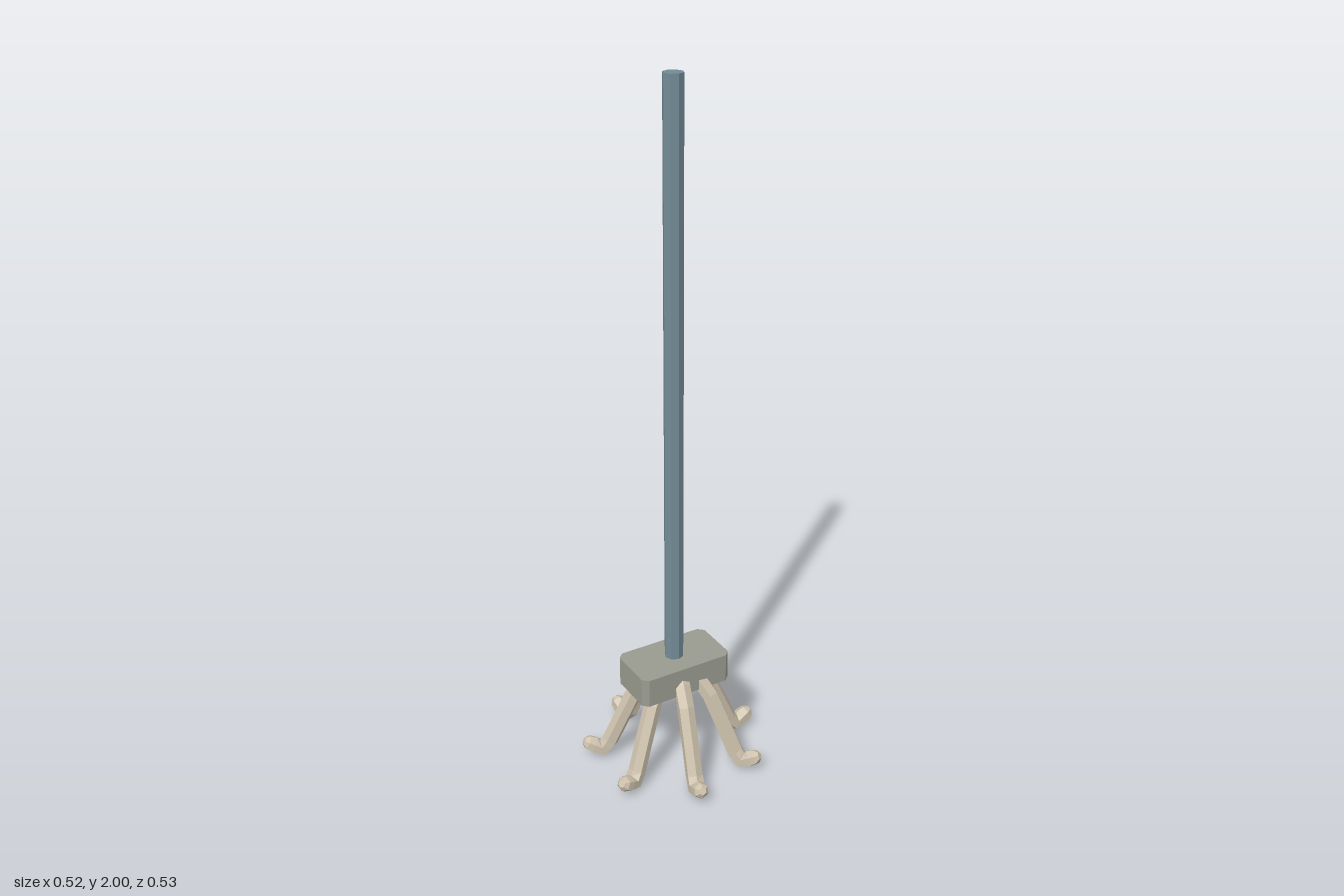
import * as THREE from 'three';

// Closed hexagonal tube in the x-y plane; each ring is [x, y, radius]
function taperedTube(rings, sides) {
  const positions = [];
  const index = [];
  rings.forEach(([x, y, r], i) => {
    const a = rings[Math.max(i - 1, 0)];
    const b = rings[Math.min(i + 1, rings.length - 1)];
    const t = new THREE.Vector2(b[0] - a[0], b[1] - a[1]).normalize();
    for (let j = 0; j < sides; j++) {
      const angle = (j / sides) * Math.PI * 2;
      const n = r * Math.cos(angle);
      positions.push(x - t.y * n, y + t.x * n, r * Math.sin(angle));
    }
  });
  for (let i = 0; i < rings.length - 1; i++) {
    for (let j = 0; j < sides; j++) {
      const k = (j + 1) % sides;
      const a = i * sides + j, b = i * sides + k;
      index.push(a, b, b + sides, a, b + sides, a + sides);
    }
  }
  // End caps
  const last = (rings.length - 1) * sides;
  for (let j = 1; j < sides - 1; j++) {
    index.push(0, j + 1, j, last, last + j, last + j + 1);
  }
  const geometry = new THREE.BufferGeometry();
  geometry.setAttribute('position', new THREE.Float32BufferAttribute(positions, 3));
  geometry.setIndex(index);
  const flat = geometry.toNonIndexed();
  flat.computeVertexNormals();
  return flat;
}

export function createModel() {
  const model = new THREE.Group();
  model.name = 'clawedStaff';

  const steel = new THREE.MeshStandardMaterial({ color: 0x738b96 });
  steel.name = 'blueGreySteel';
  const stone = new THREE.MeshStandardMaterial({ color: 0x9a9b8f });
  stone.name = 'greyStone';
  const bone = new THREE.MeshStandardMaterial({ color: 0xcdc1ac });
  bone.name = 'paleBone';

  const axisX = -0.013;

  // Octagonal shaft
  const shaftGeometry = new THREE.CylinderGeometry(0.0275, 0.0275, 1.7, 8).toNonIndexed();
  shaftGeometry.computeVertexNormals();
  const shaft = new THREE.Mesh(shaftGeometry, steel);
  shaft.name = 'shaft';
  shaft.position.set(axisX, 1.15, 0);
  model.add(shaft);

  // Block with chamfered upright corners
  const w = 0.143, d = 0.08, c = 0.016;
  const outline = new THREE.Shape([
    [w, d - c], [w - c, d], [c - w, d], [-w, d - c],
    [-w, c - d], [c - w, -d], [w - c, -d], [w, c - d],
  ].map(([x, y]) => new THREE.Vector2(x, y)));
  const blockGeometry = new THREE.ExtrudeGeometry(outline, { depth: 0.087, bevelEnabled: false });
  blockGeometry.rotateX(-Math.PI / 2);
  const block = new THREE.Mesh(blockGeometry, stone);
  block.name = 'headBlock';
  block.position.set(axisX, 0.258, 0);
  model.add(block);

  // Seven hooked fingers spread evenly around the shaft
  const fingerGeometry = taperedTube([
    [0.03, 0.315, 0.025],
    [0.075, 0.283, 0.025],
    [0.11, 0.235, 0.025],
    [0.155, 0.135, 0.025],
    [0.19, 0.055, 0.025],
    [0.212, 0.029, 0.026],
    [0.238, 0.04, 0.025],
    [0.256, 0.05, 0.022],
    [0.267, 0.056, 0.011],
  ], 6);
  const fingers = new THREE.Group();
  fingers.name = 'fingers';
  fingers.position.x = axisX;
  for (let i = 0; i < 7; i++) {
    const finger = new THREE.Mesh(fingerGeometry, bone);
    finger.name = `finger${i + 1}`;
    finger.rotation.y = (i / 7) * Math.PI * 2;
    fingers.add(finger);
  }
  model.add(fingers);

  return model;
}
